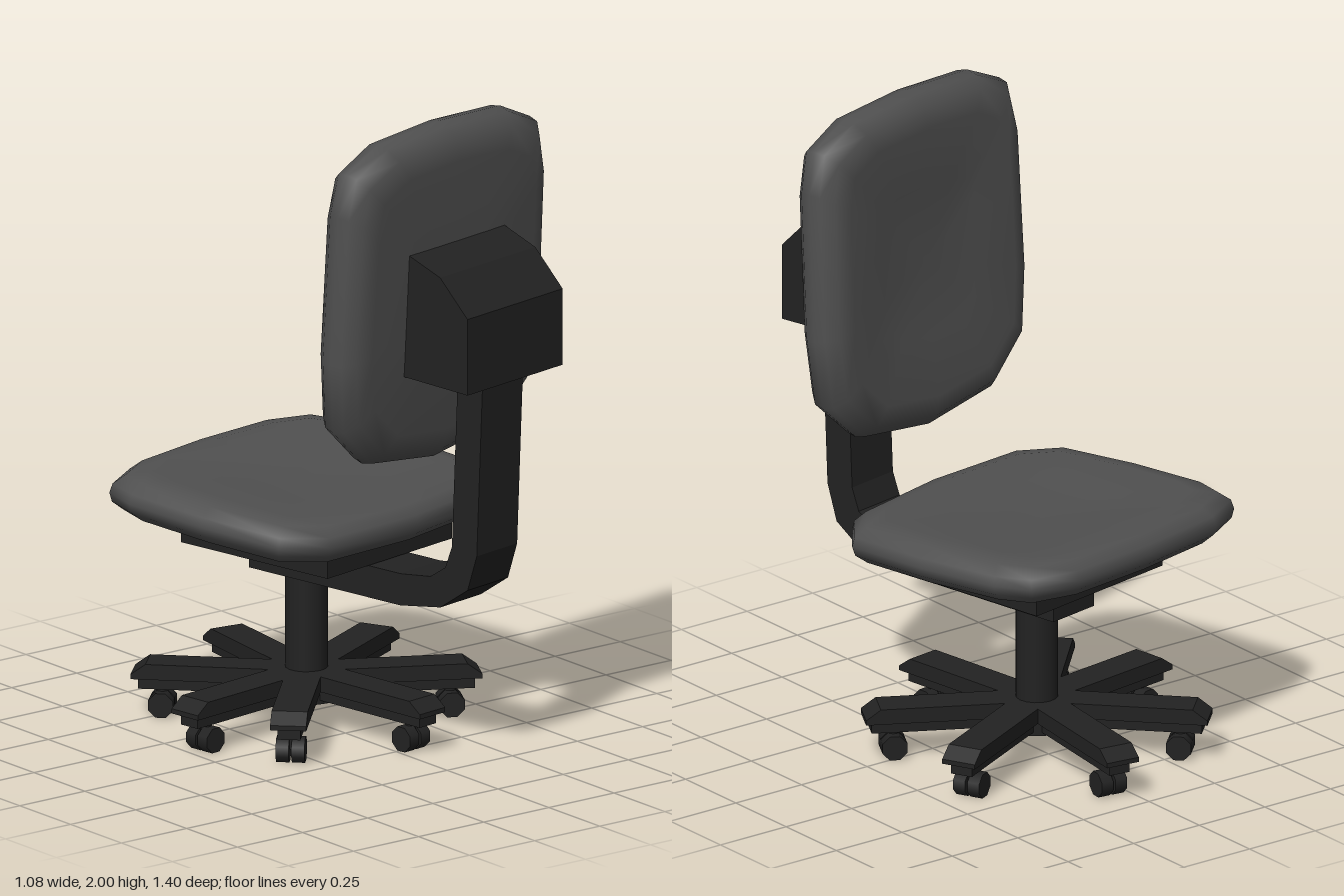
import * as THREE from 'three';

const fabric = new THREE.MeshStandardMaterial({ color: 0x505050 });
const plastic = new THREE.MeshStandardMaterial({ color: 0x222222 });

function add(parent, name, geometry, material, x = 0, y = 0, z = 0) {
  const mesh = new THREE.Mesh(geometry, material);
  mesh.name = name;
  mesh.position.set(x, y, z);
  parent.add(mesh);
  return mesh;
}

// Side profile of [z, y] points, extruded to a width along x
function sideExtrude(points, width) {
  const shape = new THREE.Shape(points.map(([z, y]) => new THREE.Vector2(z, y)));
  const g = new THREE.ExtrudeGeometry(shape, { depth: width, bevelEnabled: false });
  return g.translate(0, 0, -width / 2).rotateY(-Math.PI / 2);
}

// Padded cushion in the xy plane: rings of a mirrored outline, dished on the +z side
function cushion(half, t) {
  const outline = [...half, ...half.slice(1, -1).reverse().map(([x, y]) => [-x, y])];
  const n = outline.length;
  const rings = [[0.45, 0.72], [0.8, 0.95], [0.92, 0.78], [0.985, 0.4], [1, 0],
    [0.985, -0.4], [0.92, -0.78], [0.8, -0.98]];
  const pos = [0, 0, t * 0.65];
  for (const [s, h] of rings) for (const [x, y] of outline) pos.push(x * s, y * s, h * t);
  pos.push(0, 0, -t * 1.05);
  const last = rings.length * n + 1;
  const index = [];
  for (let i = 0; i < n; i++) {
    const j = (i + 1) % n;
    index.push(0, 1 + i, 1 + j);
    for (let r = 0; r < rings.length - 1; r++) {
      const a = 1 + r * n, b = a + n;
      index.push(a + i, b + i, b + j, a + i, b + j, a + j);
    }
    index.push(last, last - n + j, last - n + i);
  }
  const g = new THREE.BufferGeometry();
  g.setAttribute('position', new THREE.Float32BufferAttribute(pos, 3));
  g.setIndex(index);
  g.computeVertexNormals();
  return g;
}

function makeUpper() {
  const upper = new THREE.Group();
  upper.name = 'swivellingTop';

  // Seat and backrest cushions
  const seat = cushion([[0, -0.45], [0.37, -0.42], [0.486, -0.315], [0.508, -0.02],
    [0.5, 0.275], [0.46, 0.39], [0.31, 0.45], [0, 0.465]], 0.073).rotateX(-Math.PI / 2);
  add(upper, 'seat', seat, fabric, 0, 0.728, 0).rotation.x = 0.047;
  const back = cushion([[0, -0.535], [0.29, -0.495], [0.43, -0.365], [0.455, -0.145],
    [0.45, 0.325], [0.42, 0.455], [0.28, 0.52], [0, 0.535]], 0.092).rotateY(Math.PI);
  add(upper, 'backrest', back, fabric, 0, 1.465, 0.504).rotation.x = 0.055;

  // Plate under the seat
  add(upper, 'seatPlate', new THREE.BoxGeometry(0.57, 0.09, 0.59), plastic, 0, 0.622, 0.04);

  // Bent bar from under the seat up to the backrest
  add(upper, 'backBar', sideExtrude([[-0.15, 0.475], [0.46, 0.475], [0.62, 0.5], [0.73, 0.575],
    [0.767, 0.69], [0.793, 1.3], [0.693, 1.3], [0.667, 0.7], [0.64, 0.63], [0.58, 0.59],
    [0.46, 0.575], [-0.15, 0.575]], 0.185), plastic);

  // Housing behind the backrest
  add(upper, 'backHousing', sideExtrude([[0.55, 1.25], [0.84, 1.24], [0.84, 1.48], [0.73, 1.59],
    [0.6, 1.637], [0.55, 1.637]], 0.436), plastic);
  return upper;
}

// One leg reaching along +z, with its caster
function makeLeg() {
  const leg = new THREE.Group();
  leg.name = 'leg';
  add(leg, 'legTop', sideExtrude([[0, 0.125], [0.53, 0.125], [0.53, 0.14], [0.485, 0.173],
    [0, 0.173]], 0.11), plastic);
  add(leg, 'legRib', new THREE.BoxGeometry(0.07, 0.04, 0.5), plastic, 0, 0.11, 0.26);
  add(leg, 'casterStem', new THREE.CylinderGeometry(0.018, 0.018, 0.06, 8), plastic, 0, 0.075, 0.44);
  for (const s of [-1, 1]) {
    const wheel = new THREE.CylinderGeometry(0.041, 0.041, 0.04, 8).rotateX(0).rotateY(Math.PI / 8);
    add(leg, 'casterWheel', wheel.rotateZ(Math.PI / 2), plastic, s * 0.024, 0.041, 0.44);
  }
  return leg;
}

export function createModel() {
  const chair = new THREE.Group();
  chair.name = 'officeChair';
  chair.position.set(-0.005, 0, -0.185);

  const upper = makeUpper();
  upper.rotation.y = 0.187;
  chair.add(upper);

  // Column and hub
  add(chair, 'column', new THREE.CylinderGeometry(0.065, 0.065, 0.46, 16), plastic, 0, 0.35, 0);
  add(chair, 'hub', new THREE.CylinderGeometry(0.1, 0.1, 0.095, 14), plastic, 0, 0.125, 0);

  // Seven legs, angles in degrees from +x towards +z
  for (const deg of [172, 134, 82, 29, -26, -82, -134]) {
    const leg = makeLeg();
    leg.rotation.y = Math.PI / 2 - THREE.MathUtils.degToRad(deg);
    chair.add(leg);
  }

  const model = new THREE.Group();
  model.add(chair);
  return model;
}
